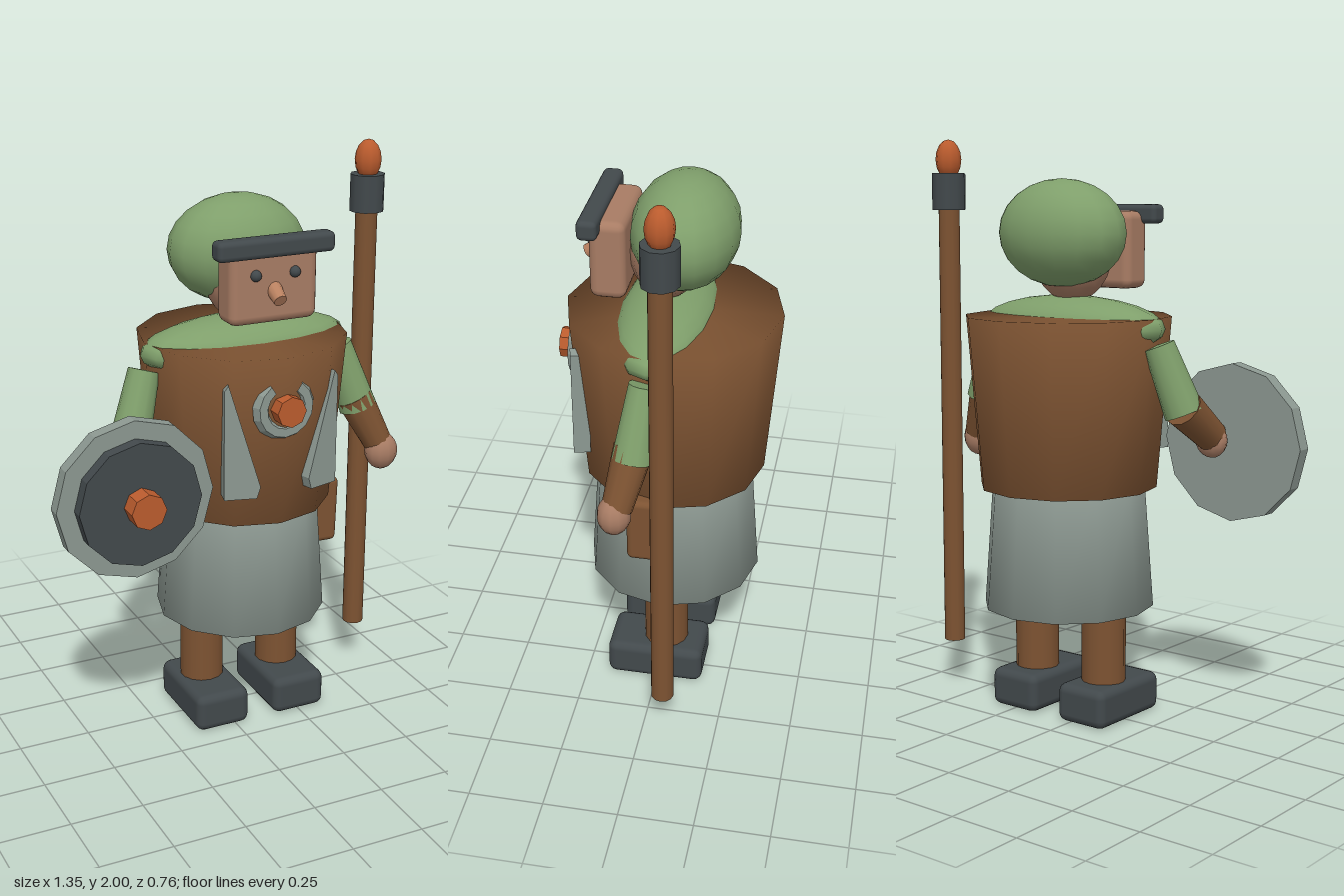
import * as THREE from 'three';
import { mergeVertices } from 'three/addons/utils/BufferGeometryUtils.js';
import { RoundedBoxGeometry } from 'three/addons/geometries/RoundedBoxGeometry.js';

const mat = (color, flatShading = false) => new THREE.MeshStandardMaterial({ color, flatShading });
const GREEN = mat(0x7f9f6b), BROWN = mat(0x7d5332), GREY = mat(0x8c9891), SKIN = mat(0xa87c64);
const DARK = mat(0x42494c), ORANGE = mat(0xbb5c2e), NOSE = mat(0xb98160);
const METAL = mat(0x8c9891, true), DARK_FLAT = mat(0x42494c, true), ORANGE_FLAT = mat(0xbb5c2e, true);

const CX = 0.103, CZ = -0.023; // body axis

export function createModel() {
  const model = new THREE.Group();
  model.name = 'guard';

  const add = (name, geometry, material, x = 0, y = 0, z = 0, parent = model) => {
    const mesh = new THREE.Mesh(geometry, material);
    mesh.name = name;
    mesh.position.set(x, y, z);
    parent.add(mesh);
    return mesh;
  };
  const ellipsoid = (name, material, x, y, z, rx, ry, rz, w = 16, h = 12) => {
    const mesh = add(name, new THREE.SphereGeometry(1, w, h), material, x, y, z);
    mesh.scale.set(rx, ry, rz);
    return mesh;
  };
  const box = (name, material, x, y, z, w, h, d, r) =>
    add(name, new RoundedBoxGeometry(w, h, d, 2, r), material, x, y, z);

  // Upright tapered body with normals shared between wall and caps
  const drum = (name, material, rTop, rBottom, y0, y1) => {
    let g = new THREE.CylinderGeometry(rTop, rBottom, y1 - y0, 12);
    g.deleteAttribute('normal');
    g.deleteAttribute('uv');
    g = mergeVertices(g);
    g.computeVertexNormals();
    return add(name, g, material, CX, (y0 + y1) / 2, CZ);
  };
  // Tapered limb from point a to point b
  const limb = (name, material, a, b, ra, rb) => {
    const from = new THREE.Vector3(...a), to = new THREE.Vector3(...b);
    const dir = to.clone().sub(from);
    const mid = from.add(to).multiplyScalar(0.5);
    const mesh = add(name, new THREE.CylinderGeometry(rb, ra, dir.length(), 12), material, ...mid.toArray());
    mesh.quaternion.setFromUnitVectors(new THREE.Vector3(0, 1, 0), dir.normalize());
    return mesh;
  };
  // Disc facing forward, from z0 to z1
  const disc = (name, material, x, y, z0, z1, r, sides) => {
    const g = new THREE.CylinderGeometry(r, r, z1 - z0, sides).rotateX(Math.PI / 2);
    return add(name, g, material, x, y, (z0 + z1) / 2);
  };

  // Legs and shoes
  for (const [side, s] of [['left', 1], ['right', -1]]) {
    const x = CX - 0.003 + s * 0.15;
    box(side + 'Shoe', DARK, x, 0.072, 0.008, 0.2, 0.135, 0.337, 0.03);
    add(side + 'Leg', new THREE.CylinderGeometry(0.077, 0.077, 0.36, 14), BROWN, x, 0.28, -0.02);
  }

  // Body
  drum('skirt', GREY, 0.265, 0.298, 0.39, 0.85);
  drum('tunic', BROWN, 0.357, 0.308, 0.81, 1.4);
  ellipsoid('shoulders', GREEN, CX, 1.365, 0, 0.38, 0.103, 0.16);

  // Head
  ellipsoid('head', SKIN, CX, 1.62, 0, 0.15, 0.175, 0.125);
  ellipsoid('hood', GREEN, CX - 0.003, 1.68, -0.058, 0.243, 0.182, 0.175);
  box('face', SKIN, CX, 1.62, 0.166, 0.315, 0.265, 0.118, 0.03);
  box('headband', DARK, CX - 0.003, 1.742, 0.217, 0.418, 0.066, 0.066, 0.018);
  for (const s of [-1, 1]) ellipsoid('eye', DARK, CX - 0.002 + s * 0.07, 1.653, 0.227, 0.019, 0.019, 0.019, 10, 8);
  limb('nose', NOSE, [CX - 0.002, 1.61, 0.2], [CX - 0.002, 1.572, 0.264], 0.029, 0.022);

  // Left arm hanging beside the torch
  limb('leftSleeve', GREEN, [0.458, 1.315, 0.005], [0.535, 1.083, 0.032], 0.053, 0.068);
  limb('leftForearm', BROWN, [0.52, 1.12, 0.03], [0.606, 0.94, 0.07], 0.065, 0.05);
  ellipsoid('leftHand', SKIN, 0.61, 0.92, 0.078, 0.06, 0.068, 0.055, 12, 10);

  // Right arm reaching forward to the shield
  limb('rightSleeve', GREEN, [-0.265, 1.315, 0], [-0.338, 1.09, 0.045], 0.053, 0.068);
  limb('rightForearm', BROWN, [-0.335, 1.11, 0.04], [-0.352, 0.995, 0.19], 0.068, 0.055);
  ellipsoid('rightHand', SKIN, -0.353, 0.985, 0.185, 0.06, 0.06, 0.04, 12, 10);

  // Shield
  disc('shieldRim', METAL, -0.41, 0.977, 0.22, 0.27, 0.27, 12);
  disc('shieldPlate', DARK_FLAT, -0.41, 0.977, 0.265, 0.315, 0.21, 12);
  disc('shieldBoss', ORANGE_FLAT, -0.41, 0.977, 0.31, 0.38, 0.06, 8);

  // Chest ornament: open collar ring around a stud
  const arc = Math.PI * 1.62;
  const ring = add('chestRing', new THREE.TorusGeometry(0.083, 0.029, 6, 12, arc), METAL, CX - 0.002, 1.225, 0.293);
  ring.rotation.z = Math.PI * 1.5 - arc / 2;
  disc('chestStud', ORANGE_FLAT, CX - 0.002, 1.225, 0.27, 0.358, 0.052, 8);

  // Tapered chest plates, one on each front facet of the tunic
  for (const s of [-1, 1]) {
    const corners = [[0.012, 0.925], [0.122, 0.925], [0.122, 1.3], [0.108, 1.32], [0, 0.965]];
    if (s < 0) corners.reverse();
    const shape = new THREE.Shape(corners.map(([u, y]) => new THREE.Vector2(s * u, y)));
    const holder = new THREE.Group();
    holder.name = 'chestPlateHolder';
    holder.position.set(CX, 0, CZ);
    holder.rotation.y = s * Math.PI / 12;
    model.add(holder);
    add('chestPlate', new THREE.ExtrudeGeometry(shape, { depth: 0.056, bevelEnabled: false }), METAL, 0, 0, 0.29, holder);
  }

  // Belt pouch
  const pouch = box('pouch', BROWN, 0.393, 0.725, 0.025, 0.095, 0.24, 0.113, 0.02);
  pouch.rotation.z = -0.03;

  // Torch
  const TX = 0.607, TZ = -0.073;
  add('torchPole', new THREE.CylinderGeometry(0.038, 0.038, 1.58, 12), BROWN, TX, 0.97, TZ);
  add('torchCollar', new THREE.CylinderGeometry(0.06, 0.06, 0.128, 10), DARK, TX, 1.818, TZ);
  ellipsoid('torchFlame', ORANGE, TX, 1.93, TZ, 0.046, 0.07, 0.046, 10, 8);

  return model;
}
